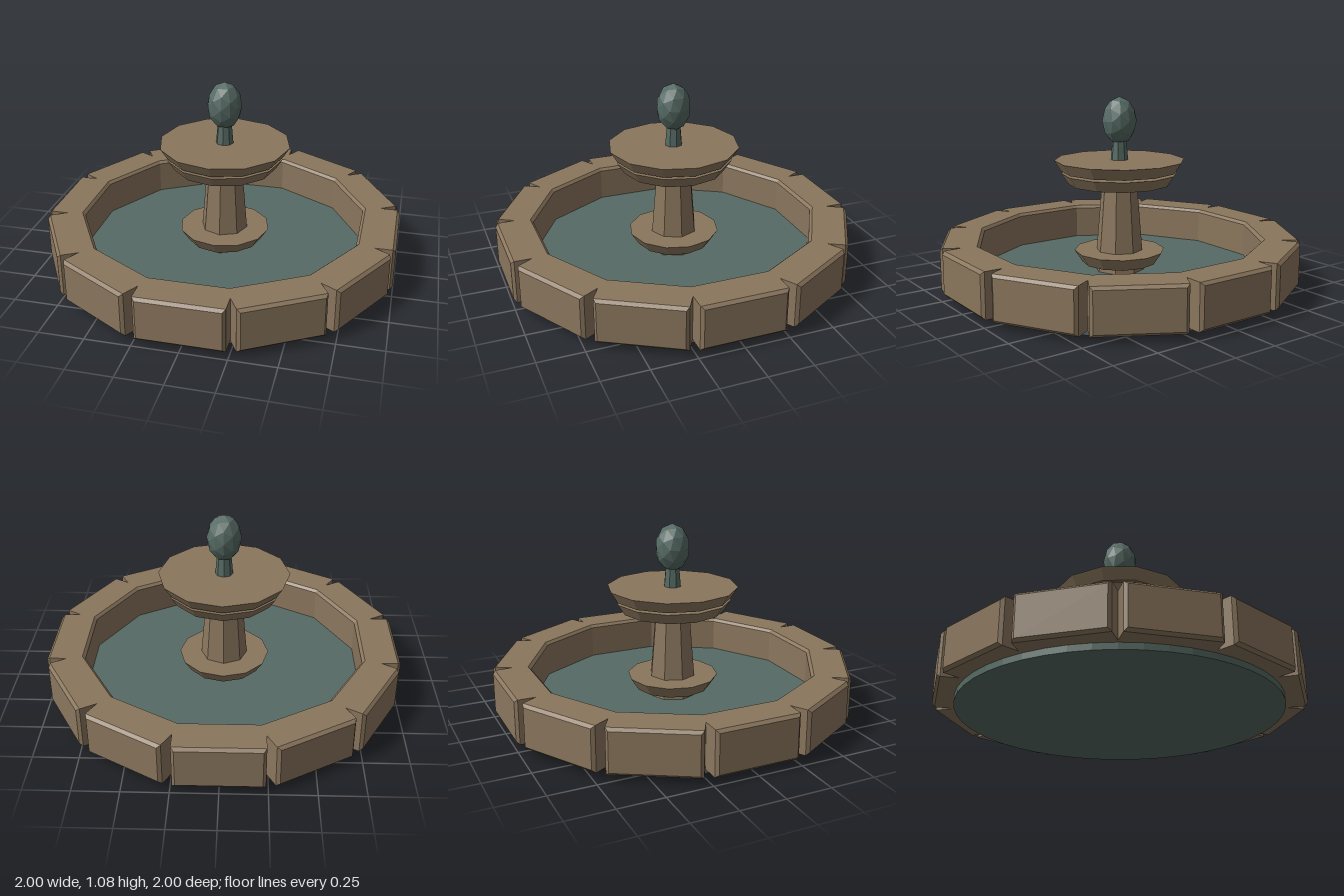
import * as THREE from 'three';

const stone = new THREE.MeshStandardMaterial({ name: 'sandstone', color: 0x8a765d, flatShading: true });
const teal = new THREE.MeshStandardMaterial({ name: 'weathered teal', color: 0x566a64, flatShading: true });

// Tapered round part standing between two heights
function taper(name, material, rTop, rBottom, yBottom, yTop, sides) {
  const geometry = new THREE.CylinderGeometry(rTop, rBottom, yTop - yBottom, sides);
  const mesh = new THREE.Mesh(geometry, material);
  mesh.name = name;
  mesh.position.y = (yBottom + yTop) / 2;
  return mesh;
}

// Box with chamfered edges, centred on the origin
function chamferedBox(w, h, d, c) {
  const x = w / 2 - c, y = h / 2 - c;
  const shape = new THREE.Shape([[-x, -y], [x, -y], [x, y], [-x, y]].map(p => new THREE.Vector2(...p)));
  const geometry = new THREE.ExtrudeGeometry(shape, {
    depth: d - 2 * c, bevelEnabled: true, bevelSize: c, bevelThickness: c, bevelSegments: 1,
  });
  return geometry.translate(0, 0, c - d / 2);
}

export function createModel() {
  const fountain = new THREE.Group();
  fountain.name = 'fountain';

  // Pool floor and water surface
  fountain.add(taper('poolBase', teal, 0.895, 0.895, 0, 0.08, 48));

  // Ring of rim blocks
  const rim = new THREE.Group();
  rim.name = 'poolRim';
  const blockGeometry = chamferedBox(0.475, 0.25, 0.215, 0.016);
  const count = 12;
  for (let i = 0; i < count; i++) {
    const angle = (i / count) * Math.PI * 2;
    const block = new THREE.Mesh(blockGeometry, stone);
    block.name = 'rimBlock';
    block.position.set(Math.sin(angle) * 0.8925, 0.16, Math.cos(angle) * 0.8925);
    block.rotation.y = angle;
    rim.add(block);
  }
  fountain.add(rim);

  // Pedestal, collar and the two upper basins
  fountain.add(
    taper('column', stone, 0.1, 0.145, 0.06, 0.6, 8),
    taper('pedestalCollar', stone, 0.26, 0.215, 0.125, 0.195, 12),
    taper('lowerBasin', stone, 0.332, 0.292, 0.583, 0.645, 12),
    taper('upperBasin', stone, 0.372, 0.332, 0.657, 0.72, 12),
  );

  // Finial on its stem
  fountain.add(taper('finialStem', teal, 0.04, 0.05, 0.72, 0.84, 8));
  const finial = new THREE.Mesh(new THREE.IcosahedronGeometry(1, 1).scale(0.098, 0.136, 0.098), teal);
  finial.name = 'finial';
  finial.position.y = 0.942;
  fountain.add(finial);

  return fountain;
}
